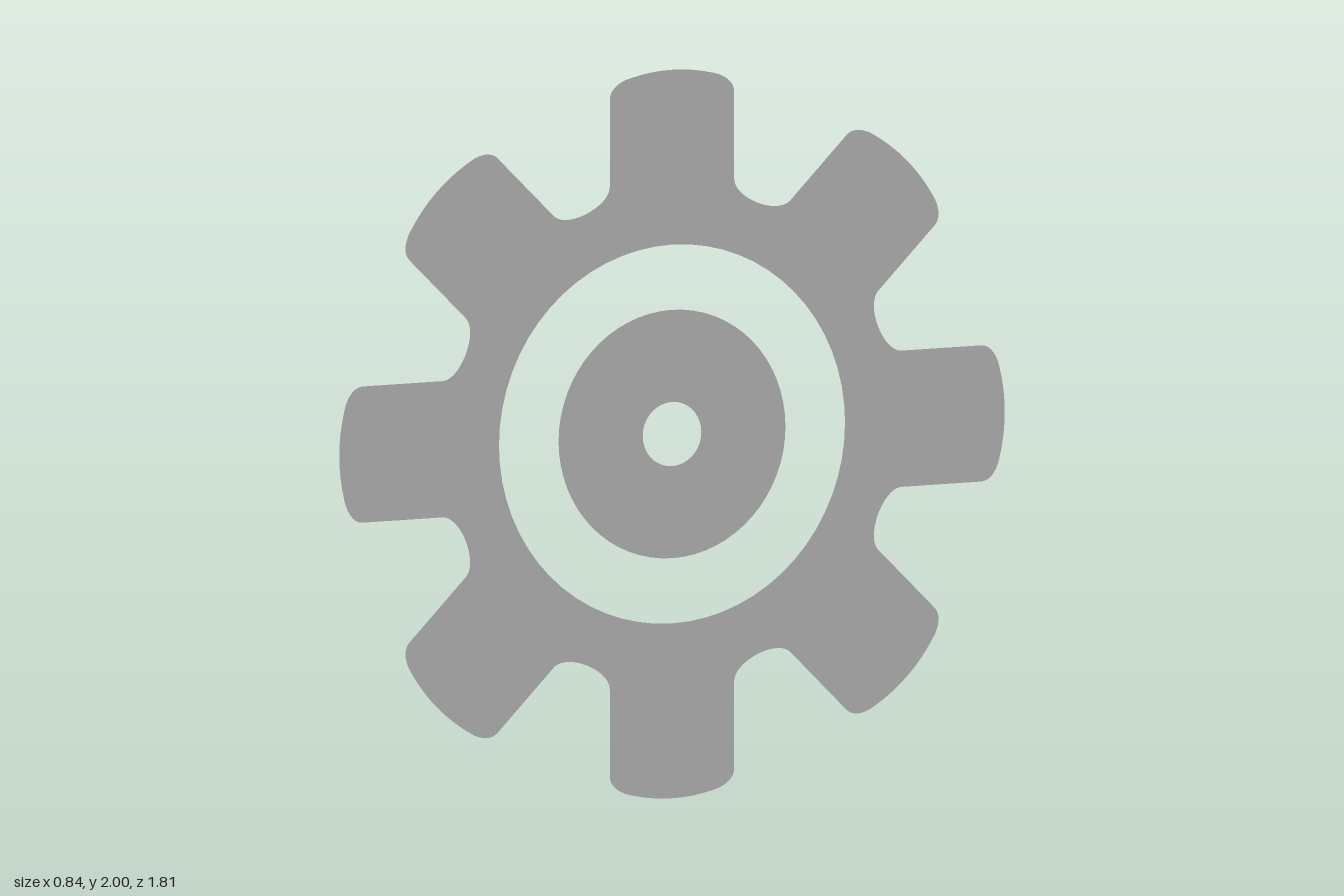
import * as THREE from 'three';

const TEETH = 8;

// Outline of the toothed ring, one tooth and one valley per step
function gearOutline() {
  const shape = new THREE.Shape();
  const step = (Math.PI * 2) / TEETH;
  for (let i = 0; i < TEETH; i++) {
    const c = Math.cos(i * step), s = Math.sin(i * step);
    // local tooth points, turned to the tooth's angle
    const p = (x, y) => [x * c - y * s, x * s + y * c];
    // point mirrored across the valley on the left of the tooth
    const m = (x, y) => {
      const r = Math.hypot(x, y), a = step - Math.atan2(x, y);
      return p(-r * Math.sin(a), r * Math.cos(a));
    };
    if (i === 0) shape.moveTo(...p(0.187, 0.69));
    shape.lineTo(...p(0.187, 0.93));
    shape.quadraticCurveTo(...p(0.185, 0.962), ...p(0.14, 0.98));      // rounded corner
    shape.quadraticCurveTo(...p(0, 1.02), ...p(-0.14, 0.98));          // domed tip
    shape.quadraticCurveTo(...p(-0.185, 0.962), ...p(-0.187, 0.93));
    shape.lineTo(...p(-0.187, 0.69));
    shape.bezierCurveTo(...p(-0.187, 0.635), ...m(0.187, 0.635), ...m(0.187, 0.69)); // valley
  }
  return shape;
}

function circle(radius, PathType) {
  const path = new PathType();
  path.absarc(0, 0, radius, 0, Math.PI * 2, PathType === THREE.Path);
  return path;
}

export function createModel() {
  const group = new THREE.Group();
  group.name = 'flatGear';
  const grey = new THREE.MeshStandardMaterial({ color: 0xb2b2b2, side: THREE.DoubleSide });
  grey.name = 'grey';

  const add = (name, shape, holeRadius) => {
    shape.holes.push(circle(holeRadius, THREE.Path));
    const mesh = new THREE.Mesh(new THREE.ShapeGeometry(shape, 32), grey);
    mesh.name = name;
    mesh.position.y = 1;
    mesh.rotation.y = 1.137; // the sheet stands turned about the vertical
    group.add(mesh);
  };

  add('toothedRing', gearOutline(), 0.52);
  add('hubDisc', circle(0.341, THREE.Shape), 0.088);
  return group;
}
